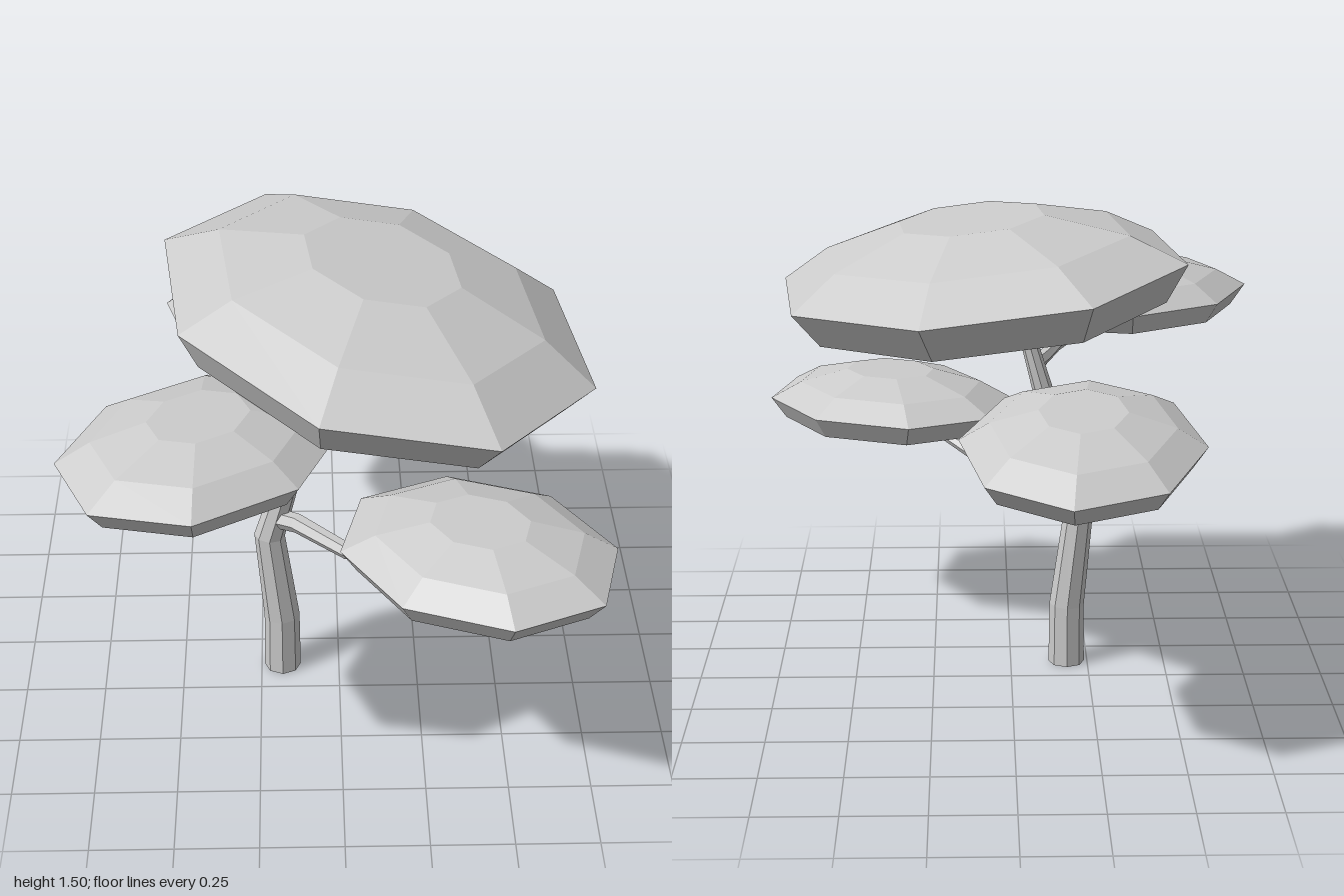
import * as THREE from 'three';

const V = (x, y, z) => new THREE.Vector3(x, y, z);
const material = new THREE.MeshStandardMaterial({
  color: 0xcccccc, flatShading: true, side: THREE.DoubleSide,
});

// Skin equal-sized rings in order, with optional flat end caps
function loft(rings, capStart, capEnd) {
  const n = rings[0].length;
  const pos = [];
  const tri = (...pts) => pts.forEach((p) => pos.push(p.x, p.y, p.z));
  for (let r = 0; r < rings.length - 1; r++) {
    for (let i = 0; i < n; i++) {
      const j = (i + 1) % n;
      const [a, b, c, d] = [rings[r][i], rings[r][j], rings[r + 1][j], rings[r + 1][i]];
      tri(a, d, c);
      tri(a, c, b);
    }
  }
  const first = rings[0], last = rings[rings.length - 1];
  for (let i = 1; i < n - 1; i++) {
    if (capStart) tri(first[0], first[i], first[i + 1]);
    if (capEnd) tri(last[0], last[i + 1], last[i]);
  }
  const geo = new THREE.BufferGeometry();
  geo.setAttribute('position', new THREE.Float32BufferAttribute(pos, 3));
  geo.computeVertexNormals();
  return geo;
}

// Tapered faceted limb, open at its foot; each point is [x, y, z, radius]
function limb(name, points, sides, ref) {
  const path = points.map((p) => V(p[0], p[1], p[2]));
  const rings = path.map((p, k) => {
    const t = V(0, 0, 0);
    if (k > 0) t.add(p.clone().sub(path[k - 1]).normalize());
    if (k < path.length - 1) t.add(path[k + 1].clone().sub(p).normalize());
    t.normalize();
    const e1 = t.clone().cross(ref).normalize();
    const e2 = e1.clone().cross(t);
    return Array.from({ length: sides }, (_, i) => {
      const a = (i / sides) * Math.PI * 2;
      return p.clone()
        .addScaledVector(e1, Math.cos(a) * points[k][3])
        .addScaledVector(e2, Math.sin(a) * points[k][3]);
    });
  });
  const mesh = new THREE.Mesh(loft(rings, false, true), material);
  mesh.name = name;
  return mesh;
}

// Leaf pad profile from the hollowed underside, round the rim, to the top:
// [radius factor, height above the widest ring]
const PAD = [
  [0.36, 0.012], [0.72, -0.026], [0.88, -0.067],
  [1, 0], [0.75, 0.056], [0.36, 0.1],
];

// Eight-sided pad; u and v are the [x, z] half axes of its skewed outline,
// slope is [dy/dx, dy/dz] of its tilt
function pad(name, centre, u, v, height, slope) {
  const normal = V(-slope[0], 1, -slope[1]);
  const rings = PAD.map(([f, h]) => Array.from({ length: 8 }, (_, i) => {
    const c = Math.cos((i * Math.PI) / 4) * f, s = Math.sin((i * Math.PI) / 4) * f;
    const x = u[0] * c + v[0] * s, z = u[1] * c + v[1] * s;
    return V(x, slope[0] * x + slope[1] * z, z)
      .addScaledVector(normal, h * height).add(centre);
  }));
  const mesh = new THREE.Mesh(loft(rings, true, true), material);
  mesh.name = name;
  return mesh;
}

export function createModel() {
  const tree = new THREE.Group();
  tree.name = 'tree';
  const up = V(0, 1, 0);

  tree.add(
    // Bent trunk
    limb('trunk', [
      [-0.182, 0, 0.128, 0.058], [-0.182, 0.2, 0.128, 0.056], [-0.217, 0.51, 0.128, 0.048],
      [-0.06, 1.07, 0.128, 0.027], [0.09, 1.35, 0.128, 0.012],
    ], 8, V(0, 0, 1)),

    // Branches
    limb('leftBranch', [
      [-0.2, 0.575, 0.13, 0.032], [-0.13, 0.593, 0.19, 0.03],
      [0.02, 0.585, 0.33, 0.026], [0.3, 0.71, 0.54, 0.013], [0.4, 0.78, 0.61, 0.009],
    ], 6, up),
    limb('rightBranch', [
      [-0.08, 1.01, 0.13, 0.025], [-0.1, 1.01, 0.18, 0.024],
      [-0.15, 1.02, 0.32, 0.021], [-0.3, 1.075, 0.48, 0.012], [-0.39, 1.15, 0.59, 0.008],
    ], 6, up),
    limb('backBranch', [
      [-0.14, 0.8, 0.13, 0.03], [-0.175, 0.81, 0.03, 0.028],
      [-0.185, 0.815, -0.13, 0.024], [-0.16, 0.905, -0.44, 0.012], [-0.18, 0.96, -0.55, 0.009],
    ], 6, up),

    // Leaf pads
    pad('crownPad', V(0.102, 1.303, 0.13), [0.625, 0.31], [-0.17, 0.685], 1.68, [-0.136, 0]),
    pad('leftPad', V(0.397, 0.77, 0.597), [0.403, 0], [0.07, 0.392], 1, [0, 0]),
    pad('rightPad', V(-0.4, 1.138, 0.6), [-0.01, 0.395], [-0.4, 0.08], 1, [0, 0]),
    pad('backPad', V(-0.195, 0.95, -0.56), [0.357, 0.03], [-0.045, 0.44], 1, [0, 0.133]),
  );
  return tree;
}
